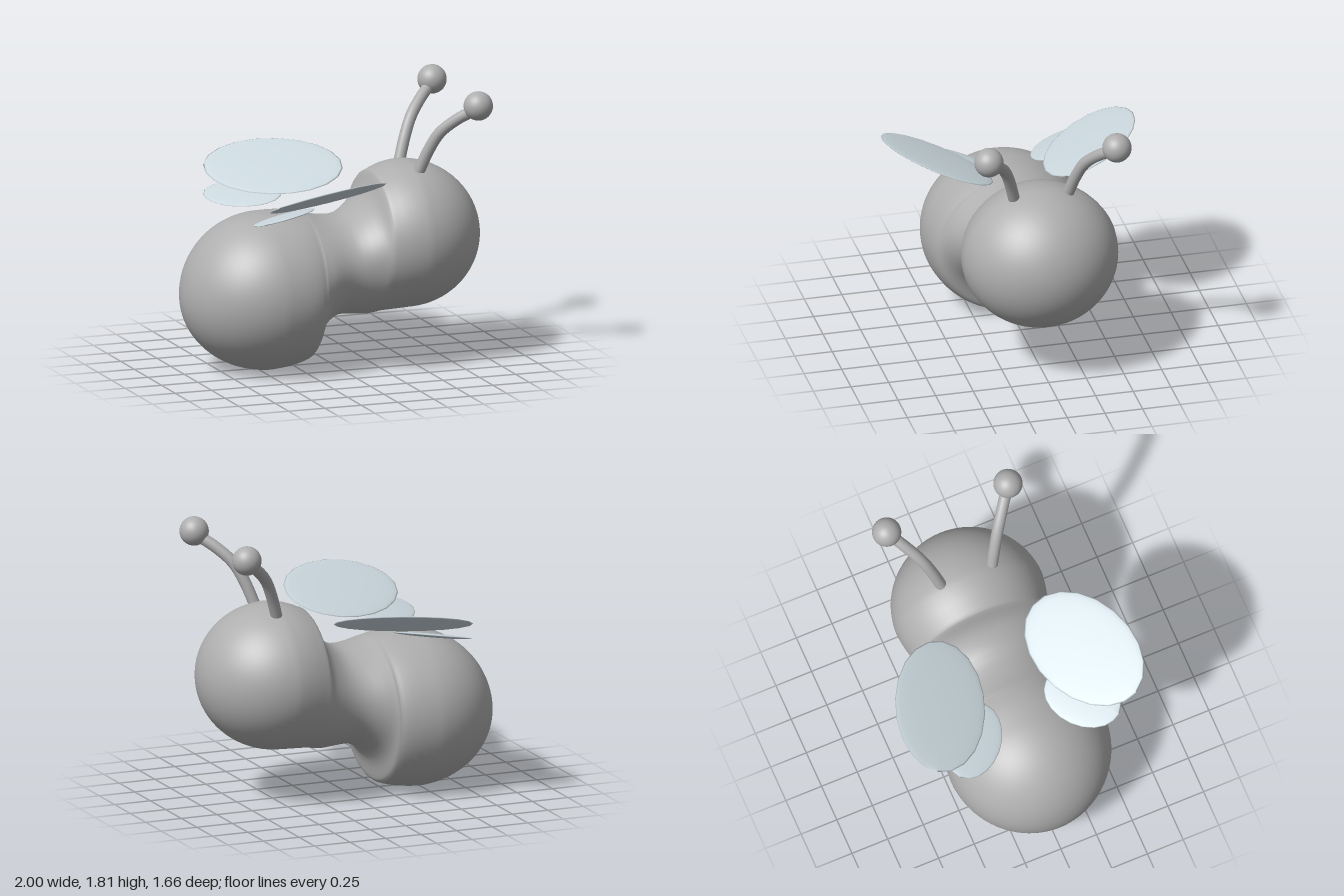
import * as THREE from 'three';
import { mergeVertices } from 'three/addons/utils/BufferGeometryUtils.js';

const bodyGrey = new THREE.MeshStandardMaterial({ color: 0xaeaeae });
bodyGrey.name = 'body grey';
const wingBlue = new THREE.MeshStandardMaterial({ color: 0xcbd8de });
wingBlue.name = 'pale wing blue';

function addMesh(parent, name, geometry, material) {
  const mesh = new THREE.Mesh(geometry, material);
  mesh.name = name;
  parent.add(mesh);
  return mesh;
}

// Cross-sections of the waist: x, top, bottom, half width, height of widest point
const waist = [
  [-0.33, 1.03, 0.013, 0.53, 0.52],
  [-0.24, 1.018, 0.035, 0.51, 0.53],
  [-0.2, 1.01, 0.055, 0.49, 0.54],
  [-0.185, 1.007, 0.1, 0.485, 0.56],
  [-0.16, 1.0, 0.19, 0.47, 0.59],
  [-0.1, 0.983, 0.27, 0.445, 0.63],
  [0, 0.97, 0.325, 0.405, 0.66],
  [0.1, 0.985, 0.325, 0.4, 0.68],
  [0.2, 1.06, 0.315, 0.425, 0.72],
  [0.25, 1.14, 0.32, 0.445, 0.74],
  [0.28, 1.23, 0.325, 0.46, 0.77],
  [0.31, 1.25, 0.33, 0.47, 0.785],
  [0.4, 1.285, 0.335, 0.495, 0.81],
];

// Abdomen, waist and head lofted as one smooth skin
function bodyGeometry() {
  const stations = [];
  const capSteps = 14;
  for (let i = 0; i <= capSteps; i++) {
    const a = (i / capSteps) * Math.PI / 2;
    const cy = 0.48 + 0.035 * Math.sin(a), r = 0.515 * Math.sin(a);
    stations.push([-0.45 - 0.55 * Math.cos(a), cy + r, cy - r, 0.54 * Math.sin(a), cy]);
  }
  stations.push(...waist);
  for (let i = 0; i <= capSteps; i++) {
    const a = (i / capSteps) * Math.PI / 2, r = 0.48 * Math.cos(a);
    stations.push([0.5 + 0.5 * Math.sin(a), 0.82 + r, 0.82 - r, 0.51 * Math.cos(a), 0.82]);
  }

  // Two curves with matching parameters smooth all five values
  const outline = new THREE.CatmullRomCurve3(
    stations.map(s => new THREE.Vector3(s[0], s[1], s[2])), false, 'catmullrom');
  const girth = new THREE.CatmullRomCurve3(
    stations.map(s => new THREE.Vector3(s[0], s[3], s[4])), false, 'catmullrom');

  const rows = (stations.length - 1) * 2, sides = 72;
  const positions = [], index = [];
  for (let i = 0; i <= rows; i++) {
    const o = outline.getPoint(i / rows), g = girth.getPoint(i / rows);
    for (let j = 0; j < sides; j++) {
      const a = (j / sides) * Math.PI * 2, s = Math.sin(a);
      const height = s > 0 ? o.y - g.z : g.z - o.z;
      positions.push(o.x, g.z + height * s, g.y * Math.cos(a));
      if (i < rows) {
        const k = (j + 1) % sides;
        const p = i * sides + j, q = p + sides, r = i * sides + k, t = r + sides;
        index.push(p, q, r, q, t, r);
      }
    }
  }
  const geometry = new THREE.BufferGeometry();
  geometry.setAttribute('position', new THREE.Float32BufferAttribute(positions, 3));
  geometry.setIndex(index);
  const merged = mergeVertices(geometry, 1e-5);
  merged.computeVertexNormals();
  return merged;
}

// Flattened ellipsoid, turned in plan and tilted by two slopes
function wingGeometry(length, width, thickness, turn, slopeX, slopeZ) {
  const geometry = new THREE.SphereGeometry(1, 20, 14);
  geometry.scale(length, thickness, width);
  geometry.rotateY(turn);
  const p = geometry.attributes.position;
  for (let i = 0; i < p.count; i++) {
    p.setY(i, p.getY(i) + slopeX * p.getX(i) + slopeZ * p.getZ(i));
  }
  geometry.computeVertexNormals();
  return geometry;
}

export function createModel() {
  const model = new THREE.Group();
  model.name = 'bee';
  addMesh(model, 'body', bodyGeometry(), bodyGrey);

  for (const side of [1, -1]) {
    const label = side > 0 ? 'Near' : 'Far';

    // Wings
    const large = addMesh(model, 'largeWing' + label,
      wingGeometry(0.451, 0.29, 0.017, side * 0.438, 0.164, side * 0.382), wingBlue);
    large.position.set(-0.2, 1.205, side * 0.505);
    const small = addMesh(model, 'smallWing' + label,
      wingGeometry(0.262, 0.177, 0.013, side * 0.726, 0.183, side * 0.209), wingBlue);
    small.position.set(-0.457, 1.073, side * 0.382);

    // Antenna stalk and ball
    const antenna = new THREE.Group();
    antenna.name = 'antenna' + label;
    const path = new THREE.CatmullRomCurve3([
      [0.54, 1.23], [0.6, 1.4], [0.66, 1.52], [0.75, 1.615], [0.865, 1.7],
    ].map(([x, y]) => new THREE.Vector3(x, y, side * (0.18 + 0.774 * (x - 0.55)))));
    addMesh(antenna, 'stalk', new THREE.TubeGeometry(path, 24, 0.038, 16), bodyGrey);
    const ball = addMesh(antenna, 'ball', new THREE.SphereGeometry(0.095, 32, 20), bodyGrey);
    ball.position.set(0.865, 1.715, side * 0.425);
    model.add(antenna);
  }
  return model;
}
